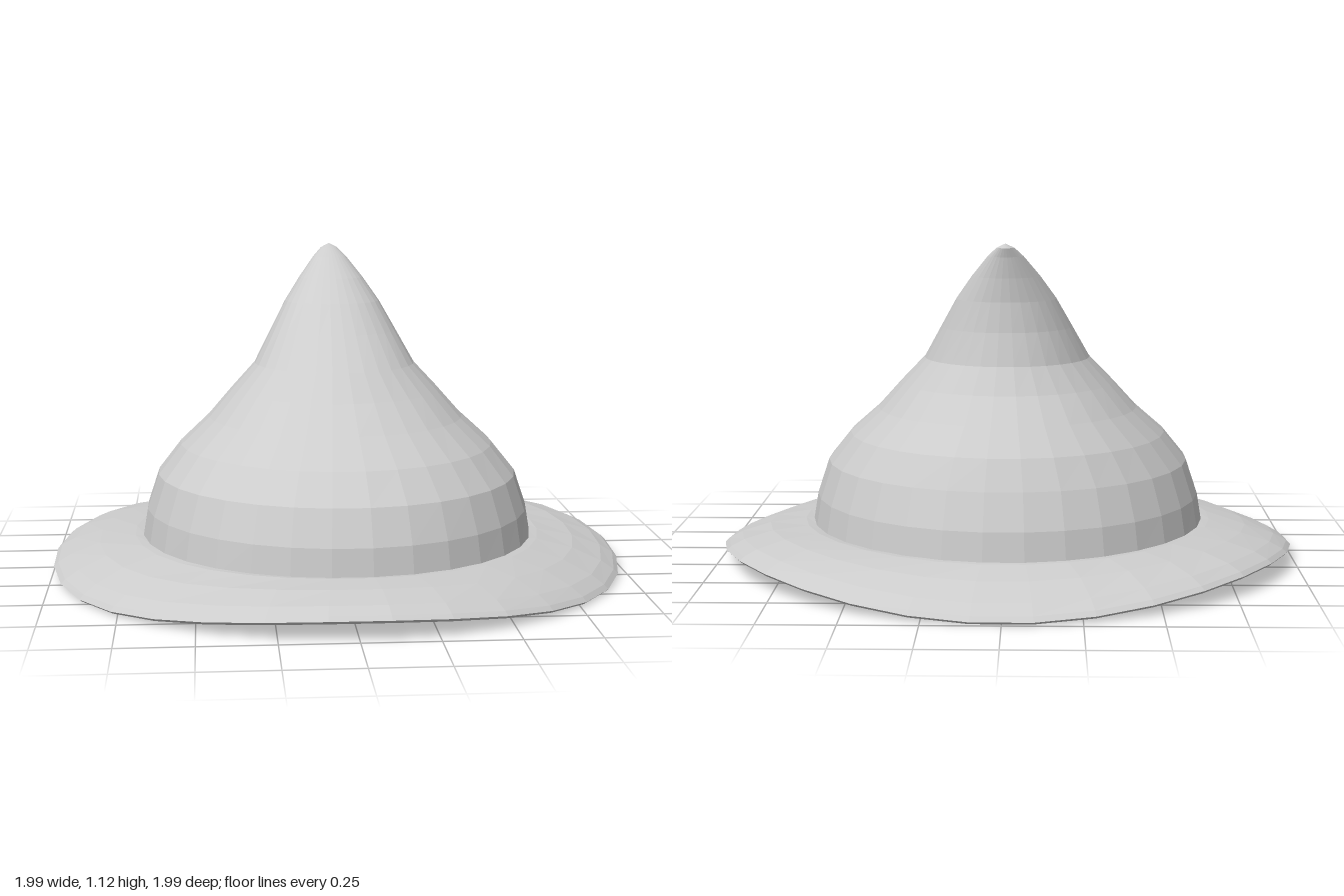
import * as THREE from 'three';

const SIDES = 32;

// Skin a list of rings; each ring is a function angle -> [x, y, z]. Faceted normals.
function loft(rings) {
  const pos = [], idx = [];
  for (const ring of rings)
    for (let j = 0; j < SIDES; j++) pos.push(...ring(((j + 0.5) / SIDES) * Math.PI * 2));
  for (let i = 0; i < rings.length - 1; i++)
    for (let j = 0; j < SIDES; j++) {
      const k = (j + 1) % SIDES;
      const a = i * SIDES + j, b = i * SIDES + k, c = b + SIDES, d = a + SIDES;
      idx.push(a, b, c, a, c, d);
    }
  const indexed = new THREE.BufferGeometry();
  indexed.setAttribute('position', new THREE.Float32BufferAttribute(pos, 3));
  indexed.setIndex(idx);
  const geo = indexed.toNonIndexed();
  geo.computeVertexNormals();
  return geo;
}

// Crown sections: height, half width, front z, back z
const crown = [
  [0.10, 0.69, 0.725, -0.725],
  [0.22, 0.67, 0.71, -0.71],
  [0.34, 0.63, 0.66, -0.665],
  [0.44, 0.55, 0.565, -0.615],
  [0.53, 0.45, 0.43, -0.54],
  [0.62, 0.37, 0.305, -0.465],
  [0.71, 0.285, 0.20, -0.415],
  [0.82, 0.225, 0.06, -0.39],
  [0.92, 0.17, -0.06, -0.38],
  [1.00, 0.115, -0.165, -0.383],
  [1.07, 0.06, -0.285, -0.39],
  [1.10, 0.03, -0.345, -0.397],
  [1.115, 0, -0.383, -0.383],
];

// Elliptical section, optionally shrunk to make the lining
const section = ([y, rx, front, back], inset = 0) => (t) => [
  Math.max(rx - inset, 0) * Math.sin(t),
  y - (y > 0.2 ? inset * 0.5 : 0),
  (front + back) / 2 + Math.max((front - back) / 2 - inset, 0) * Math.cos(t),
];

// Brim section: the height ripples three times round, growing toward the edge
const brimRing = ([r, y]) => (t) => {
  const wave = THREE.MathUtils.clamp((r - 0.7) / 0.3, 0, 1);
  const oval = r < 0.8 ? 0.965 : 1;
  return [r * oval * Math.sin(t), y + 0.03 * wave * Math.cos(3 * t), r * Math.cos(t)];
};

export function createModel() {
  const hat = new THREE.Group();
  hat.name = 'pointedHat';
  const felt = new THREE.MeshStandardMaterial({ color: 0xcccccc });
  felt.name = 'grey felt';

  // Hollow crown: lining from its peak down, round the lip, then the outside up to the tip
  const lining = crown.slice(0, 11).reverse().map((s) => section(s, 0.04));
  lining.unshift(() => [0, 1.055, -0.34]);
  const crownMesh = new THREE.Mesh(loft([...lining, ...crown.map((s) => section(s))]), felt);
  crownMesh.name = 'crown';

  // Brim: underside outward, rounded edge, top inward, closed at the opening
  const profile = [
    [0.705, 0.085], [0.735, 0.078], [0.85, 0.06], [0.95, 0.035], [0.99, 0.027],
    [1.0, 0.036], [0.985, 0.05], [0.94, 0.075], [0.84, 0.108], [0.74, 0.127],
    [0.705, 0.127], [0.705, 0.085],
  ];
  const brim = new THREE.Mesh(loft(profile.map(brimRing)), felt);
  brim.name = 'brim';

  hat.add(crownMesh, brim);
  return hat;
}
